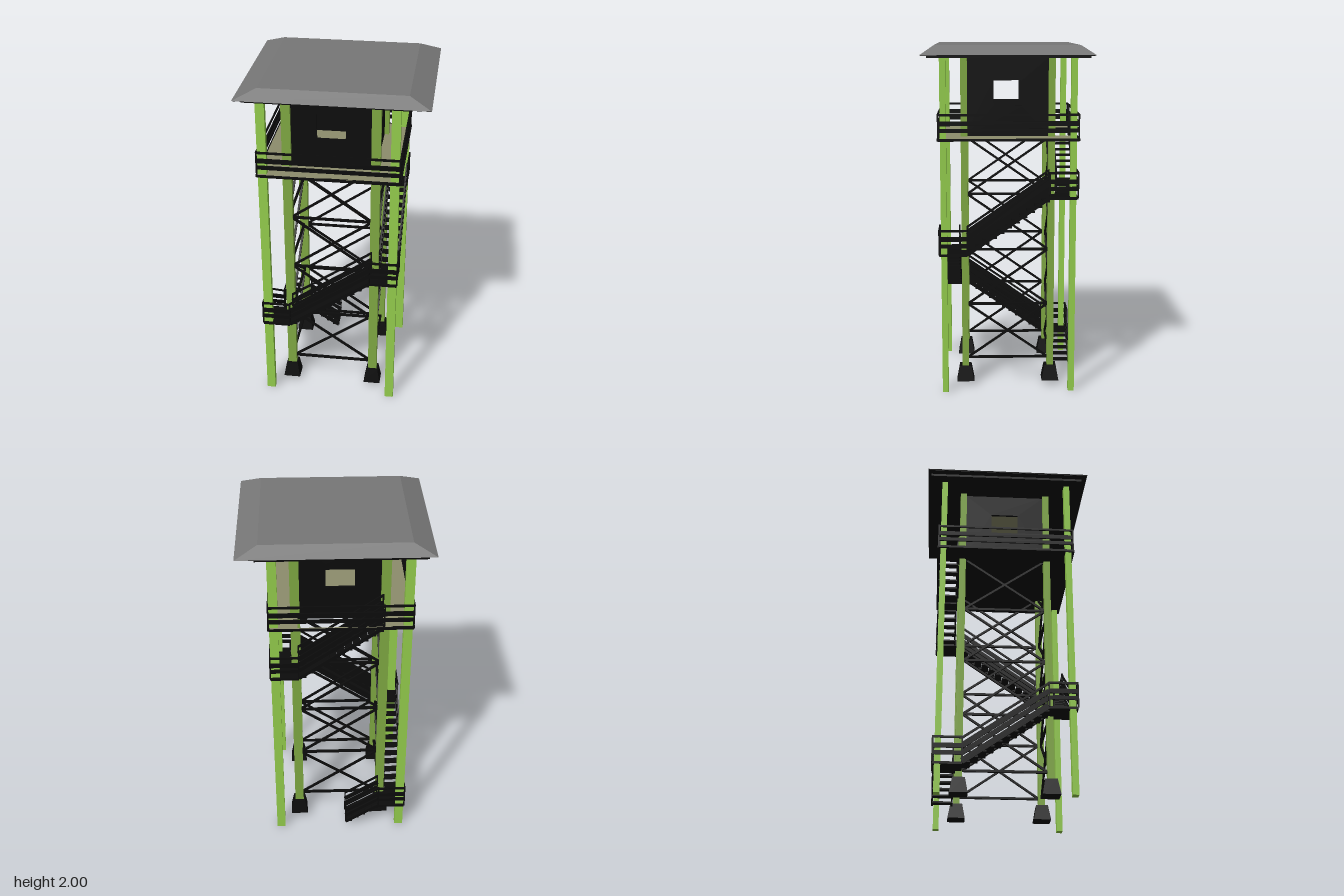
import * as THREE from 'three';

const mat = (color) => new THREE.MeshStandardMaterial({ color, flatShading: true });
const steel = mat(0x0c0c0c), timber = mat(0x93cc4c), innerTimber = mat(0x7fa842);
const roofing = mat(0x777777), planks = mat(0x8c8c6c);

const LEVEL0 = 0.165, RISE = 0.328, DECK = LEVEL0 + 4 * RISE;
const INNER = 0.25, OUTER = 0.366, EDGE = 0.394;

function box(parent, name, size, pos, material = steel) {
  const m = new THREE.Mesh(new THREE.BoxGeometry(...size), material);
  m.name = name;
  m.position.set(...pos);
  parent.add(m);
  return m;
}

// Straight bar between two points, w wide and h high
function bar(parent, name, a, b, w, h = w) {
  const p = new THREE.Vector3(...a), q = new THREE.Vector3(...b);
  const m = new THREE.Mesh(new THREE.BoxGeometry(w, h, p.distanceTo(q)), steel);
  m.name = name;
  m.position.copy(p).add(q).multiplyScalar(0.5);
  m.lookAt(q);
  parent.add(m);
}

// Three rails with end posts, following the line a to b
function railing(parent, a, b) {
  const up = (p, dy) => [p[0], p[1] + dy, p[2]];
  for (const [dy, h] of [[0.14, 0.012], [0.092, 0.026], [0.052, 0.022]])
    bar(parent, 'rail', up(a, dy), up(b, dy), 0.008, h);
  for (const p of [a, b]) box(parent, 'railPost', [0.008, 0.146, 0.008], up(p, 0.073));
}

// Stair flight on the -x side, climbing towards +z
function flight(parent, z0, y0, z1, y1, steps) {
  const g = new THREE.Group();
  g.name = 'stairFlight';
  for (const x of [-EDGE + 0.006, -0.28]) {
    bar(g, 'stringer', [x, y0, z0], [x, y1, z1], 0.01, 0.02);
    railing(g, [x, y0, z0], [x, y1, z1]);
  }
  for (let i = 0; i < steps; i++) {
    const t = (i + 0.5) / steps;
    box(g, 'tread', [0.11, 0.009, 0.042],
      [-0.334, y0 + (y1 - y0) * t - 0.008, z0 + (z1 - z0) * t]);
  }
  parent.add(g);
}

// Corner landing at -x -z, railed on its two outer edges
function landing(parent, y) {
  const g = new THREE.Group();
  g.name = 'landing';
  const w = EDGE - 0.235, c = -(EDGE + 0.235) / 2;
  box(g, 'landingFloor', [w, 0.014, w], [c, y - 0.004, c]);
  railing(g, [-EDGE, y, -EDGE], [-EDGE, y, -0.235]);
  railing(g, [-EDGE, y, -EDGE], [-0.235, y, -EDGE]);
  parent.add(g);
}

function rectPath(P, x0, y0, x1, y1) {
  const p = new P();
  p.moveTo(x0, y0);
  p.lineTo(x1, y0);
  p.lineTo(x1, y1);
  p.lineTo(x0, y1);
  p.closePath();
  return p;
}

// Rectangular plate with one rectangular hole
function plate(name, outer, hole, depth, material) {
  const s = rectPath(THREE.Shape, ...outer);
  s.holes.push(rectPath(THREE.Path, ...hole));
  const m = new THREE.Mesh(new THREE.ExtrudeGeometry(s, { depth, bevelEnabled: false }), material);
  m.name = name;
  return m;
}

export function createModel() {
  const model = new THREE.Group();
  model.name = 'watchtower';
  const tower = new THREE.Group();
  tower.name = 'tower';
  tower.position.set(-0.03, 0, -0.007);
  model.add(tower);

  // Posts and footings
  for (const sx of [-1, 1]) for (const sz of [-1, 1]) {
    box(tower, 'outerPost', [0.05, 1.945, 0.034], [sx * OUTER, 0.9725, sz * OUTER], timber);
    box(tower, 'innerPost', [0.052, 1.905, 0.038], [sx * INNER, 0.9925, sz * INNER], innerTimber);
    const foot = new THREE.Mesh(
      new THREE.CylinderGeometry(0.034 * Math.SQRT2, 0.05 * Math.SQRT2, 0.09, 4).rotateY(Math.PI / 4), steel);
    foot.name = 'footing';
    foot.position.set(sx * INNER, 0.075, sz * INNER);
    tower.add(foot);
  }

  // Four sides: bracing, hut wall, deck railing, landing and flight
  for (let k = 0; k < 4; k++) {
    const side = new THREE.Group();
    side.name = 'towerSide';
    side.rotation.y = k * Math.PI / 2;
    tower.add(side);

    const b = 0.235;
    for (let i = 0; i <= 4; i++) {
      const y = LEVEL0 + i * RISE;
      bar(side, 'crossbar', [-INNER, y, -b], [-INNER, y, b], 0.013);
      if (i < 4) {
        bar(side, 'brace', [-INNER, y, -b], [-INNER, y + RISE, b], 0.012);
        bar(side, 'brace', [-INNER, y + RISE, -b], [-INNER, y, b], 0.012);
      }
    }

    const wall = plate('hutWall', [-0.25, DECK, 0.25, 1.945], [-0.08, 1.655, 0.08, 1.8], 0.014, steel);
    wall.rotation.y = -Math.PI / 2;
    wall.position.x = -0.236;
    side.add(wall);

    railing(side, [-EDGE, DECK, -EDGE], [-EDGE, DECK, EDGE]);
    bar(side, 'deckEdge', [-EDGE, DECK, -EDGE], [-EDGE, DECK, EDGE], 0.014);

    const y = LEVEL0 + k * RISE;
    landing(side, y);
    flight(side, -0.235, y, 0.235, y + RISE, 11);
    // Short entry flight from the ground
    if (k === 3) flight(side, 0.035, 0.035, 0.235, LEVEL0, 5);
  }

  // Deck with a stair opening along the back
  const outline = [-EDGE, -EDGE, EDGE, EDGE], opening = [-0.235, 0.274, 0.235, 0.386];
  const deck = plate('deckFrame', outline, opening, 0.01, steel);
  const floor = plate('deckFloor', outline, opening, 0.004, planks);
  for (const [m, y] of [[deck, DECK - 0.007], [floor, DECK + 0.003]]) {
    m.rotation.x = -Math.PI / 2;
    m.position.y = y;
    tower.add(m);
  }
  box(tower, 'hutCeiling', [0.47, 0.008, 0.47], [0, 1.93, 0], planks);

  // Roof: frame and soffit under a shallow hipped cover
  box(tower, 'roofFrame', [0.9, 0.014, 0.9], [0, 1.938, 0]);
  box(model, 'soffit', [1.03, 0.004, 0.936], [0, 1.948, 0]);
  const geo = new THREE.BoxGeometry(1, 0.05, 1);
  const p = geo.attributes.position;
  for (let i = 0; i < p.count; i++) {
    const top = p.getY(i) > 0;
    p.setX(i, Math.sign(p.getX(i)) * (top ? 0.402 : 0.522));
    p.setZ(i, Math.sign(p.getZ(i)) * (top ? 0.402 : 0.474));
  }
  geo.computeVertexNormals();
  const roof = new THREE.Mesh(geo, roofing);
  roof.name = 'roof';
  roof.position.y = 1.975;
  model.add(roof);
  // Dark underside of the cover
  box(model, 'roofUnderside', [1.04, 0.002, 0.944], [0, 1.9495, 0]);
  return model;
}
